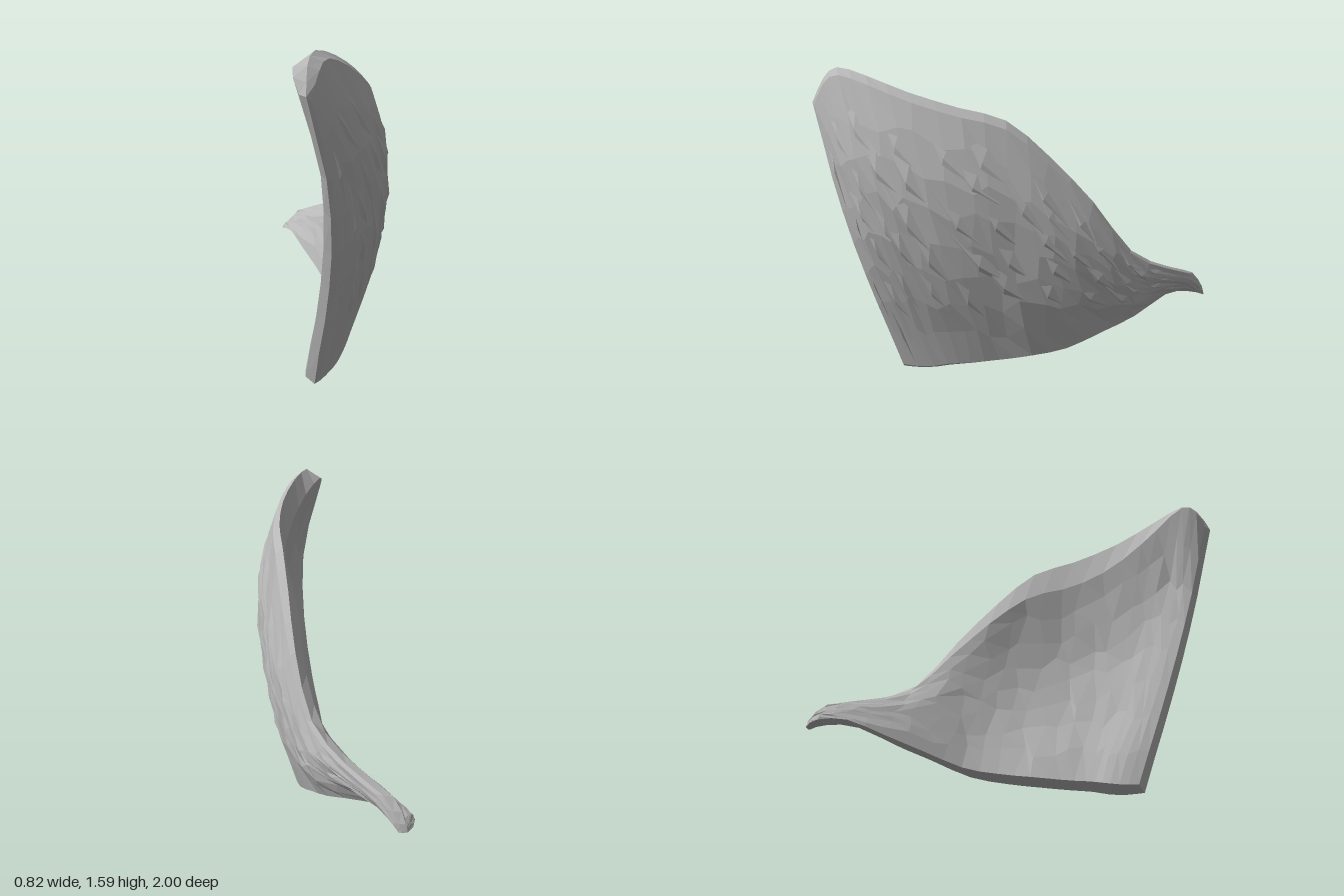
import * as THREE from 'three';

// One row per rib, from the front edge to the swept-back tip.
// Outline: bottom z, bottom y, top z, top y
const outline = [
  [0.58, 0.005, 1.0, 1.42], [0.49, 0.005, 0.94, 1.54], [0.40, 0.02, 0.86, 1.597],
  [0.32, 0.045, 0.70, 1.565], [0.20, 0.065, 0.47, 1.49], [0.05, 0.09, 0.22, 1.42],
  [-0.12, 0.12, 0.0, 1.36], [-0.30, 0.16, -0.20, 1.19], [-0.47, 0.235, -0.42, 0.955],
  [-0.64, 0.31, -0.61, 0.69], [-0.80, 0.375, -0.80, 0.565], [-0.92, 0.36, -0.93, 0.49],
  [-1.0, 0.345, -0.99, 0.385],
];
// x of the outer face at five heights, bottom to top
const outerX = [
  [0.13, 0.20, 0.25, 0.24, 0.17], [0.15, 0.25, 0.32, 0.30, 0.19], [0.175, 0.28, 0.36, 0.345, 0.21],
  [0.19, 0.30, 0.385, 0.38, 0.26], [0.195, 0.31, 0.395, 0.40, 0.30], [0.195, 0.30, 0.37, 0.38, 0.30],
  [0.18, 0.275, 0.325, 0.33, 0.27], [0.14, 0.23, 0.28, 0.285, 0.23], [0.07, 0.15, 0.20, 0.21, 0.17],
  [-0.02, 0.05, 0.09, 0.105, 0.08], [-0.22, -0.16, -0.11, -0.08, -0.08],
  [-0.33, -0.28, -0.25, -0.23, -0.24], [-0.33, -0.33, -0.32, -0.32, -0.32],
];
// x of the inner face at the same heights
const innerX = [
  [0.06, 0.13, 0.18, 0.19, 0.14], [0.04, 0.13, 0.20, 0.20, 0.08], [0.04, 0.15, 0.23, 0.23, 0.09],
  [0.07, 0.18, 0.26, 0.25, 0.16], [0.07, 0.19, 0.28, 0.27, 0.22], [0.05, 0.18, 0.27, 0.265, 0.22],
  [0.04, 0.15, 0.22, 0.215, 0.18], [0.0, 0.09, 0.15, 0.155, 0.135], [-0.10, -0.03, 0.035, 0.085, 0.11],
  [-0.22, -0.16, -0.10, -0.03, 0.03], [-0.33, -0.29, -0.25, -0.20, -0.15],
  [-0.41, -0.39, -0.36, -0.33, -0.31], [-0.37, -0.37, -0.37, -0.37, -0.36],
];

let seed = 7;
const rand = () => (seed = (seed * 16807) % 2147483647) / 2147483647;
const jitter = (a) => (rand() - 0.5) * 2 * a;
const { clamp, lerp, smoothstep } = THREE.MathUtils;

// Smooth lookup along a list of values
function curve(list, u) {
  const n = list.length - 1;
  const i = Math.min(Math.floor(u), n - 1), f = u - i;
  const [a, b, c, d] = [list[Math.max(i - 1, 0)], list[i], list[i + 1], list[Math.min(i + 2, n)]];
  return b + 0.5 * f * (c - a + f * (2 * a - 5 * b + 4 * c - d + f * (3 * (b - c) + d - a)));
}

// Point of a face: s runs along the ribs, t from bottom (0) to top (1)
function surface(xs, s, t) {
  const [bz, by, tz, ty] = [0, 1, 2, 3].map((k) => curve(outline.map((r) => r[k]), s));
  const across = xs[0].map((_, k) => curve(xs.map((r) => r[k]), s));
  const x = curve(across, t * (across.length - 1));
  return new THREE.Vector3(x, by + (ty - by) * t, bz + (tz - bz) * t);
}

// Flat-faceted geometry from triangle corners
function facets(points) {
  const geometry = new THREE.BufferGeometry().setFromPoints(points);
  geometry.computeVertexNormals();
  return geometry;
}
const quad = (out, a, b, c, d) => out.push(a, b, c, a, c, d);

const SPAN = outline.length - 1, COLS = SPAN * 2, ROWS = 8;

// Grid over one face, set in from the outline and roughened inside.
// The top inset grows to its full depth behind the crown.
function grid(xs, frontInset, bottomInset, topInset, rough) {
  const g = [];
  for (let i = 0; i <= COLS; i++) {
    g.push([]);
    for (let j = 0; j <= ROWS; j++) {
      const border = i === 0 || j === 0 || i === COLS || j === ROWS;
      const s = lerp(frontInset, SPAN - 0.1, i / COLS) + (border ? 0 : jitter(0.14));
      const top = 1 - lerp(0.02, topInset, smoothstep(s, 1, 5));
      const t = lerp(bottomInset, top, j / ROWS) + (border ? 0 : jitter(0.03));
      const p = surface(xs, s, t);
      if (!border) p.x += jitter(rough);
      g[i].push(p);
    }
  }
  return g;
}

export function createModel() {
  const group = new THREE.Group();
  group.name = 'sweptHairSide';
  const grey = new THREE.MeshStandardMaterial({ color: 0xb8b8b8 });
  grey.name = 'grey';
  const add = (name, points) => {
    const mesh = new THREE.Mesh(facets(points), grey);
    mesh.name = name;
    group.add(mesh);
  };

  // Outer and inner faces
  const outer = grid(outerX, 0.15, 0.015, 0.03, 0.006);
  const inner = grid(innerX, 0.35, 0.02, 0.13, 0.006);
  const outerTris = [], innerTris = [], rimTris = [];
  for (let i = 0; i < COLS; i++) {
    for (let j = 0; j < ROWS; j++) {
      quad(outerTris, outer[i][j + 1], outer[i][j], outer[i + 1][j], outer[i + 1][j + 1]);
      quad(innerTris, inner[i][j], inner[i][j + 1], inner[i + 1][j + 1], inner[i + 1][j]);
    }
  }

  // Bevelled rim: both faces meet a ridge that follows the outline once around
  const loop = [];
  for (let i = 0; i < COLS; i++) loop.push([i, 0]);
  for (let j = 0; j < ROWS; j++) loop.push([COLS, j]);
  for (let i = COLS; i > 0; i--) loop.push([i, ROWS]);
  for (let j = ROWS; j > 0; j--) loop.push([0, j]);
  const ridges = loop.map(([i, j]) =>
    surface(outerX, i / 2, j / ROWS).lerp(surface(innerX, i / 2, j / ROWS), 0.35));
  loop.forEach(([i, j], k) => {
    const next = (k + 1) % loop.length, [m, n] = loop[next];
    quad(rimTris, outer[i][j], ridges[k], ridges[next], outer[m][n]);
    quad(rimTris, ridges[k], inner[i][j], inner[m][n], ridges[next]);
  });
  add('outerFace', outerTris);
  add('innerFace', innerTris);
  add('rim', rimTris);

  // Broad shallow locks sweeping down and back over the outer face
  const locks = [];
  const at = (s, t, lift) => {
    const p = surface(outerX, clamp(s, 0.2, SPAN - 0.2), clamp(t, 0.03, 0.96));
    p.x += lift;
    return p;
  };
  function lock(s, t, ds, dt, width, lift) {
    const head = at(s, t, -0.004), tip = at(s + ds, t + dt, 0.002);
    const ms = s + ds * 0.55, mt = t + dt * 0.55;
    const back = at(ms + width * 2.4, mt + width, -0.005);
    const front = at(ms - width * 2.4, mt - width, -0.005);
    const ridge = at(ms - width, mt - width * 0.4, lift);
    locks.push(ridge, head, front, ridge, front, tip, ridge, tip, back, ridge, back, head);
  }
  for (let row = 0; row < 5; row++) {
    for (let col = 0; col < 8; col++) {
      const s = 0.9 + col * 1.05 + (row % 2) * 0.5 + jitter(0.2);
      const t = 0.42 + row * 0.13 + jitter(0.03);
      lock(s, t, 0.95 + jitter(0.25), -0.19 + jitter(0.04), 0.045, 0.008 + rand() * 0.005);
    }
  }
  // Long locks beside the front edge and along the tail
  for (let k = 0; k < 4; k++) {
    lock(0.5 + (k % 2) * 0.4, 0.92 - k * 0.2, 0.1, -0.32, 0.03, 0.008);
    lock(8.6 + (k % 2) * 0.3, 0.88 - k * 0.17, 1.9, -0.1, 0.05, 0.008);
  }
  add('hairLocks', locks);

  return group;
}
